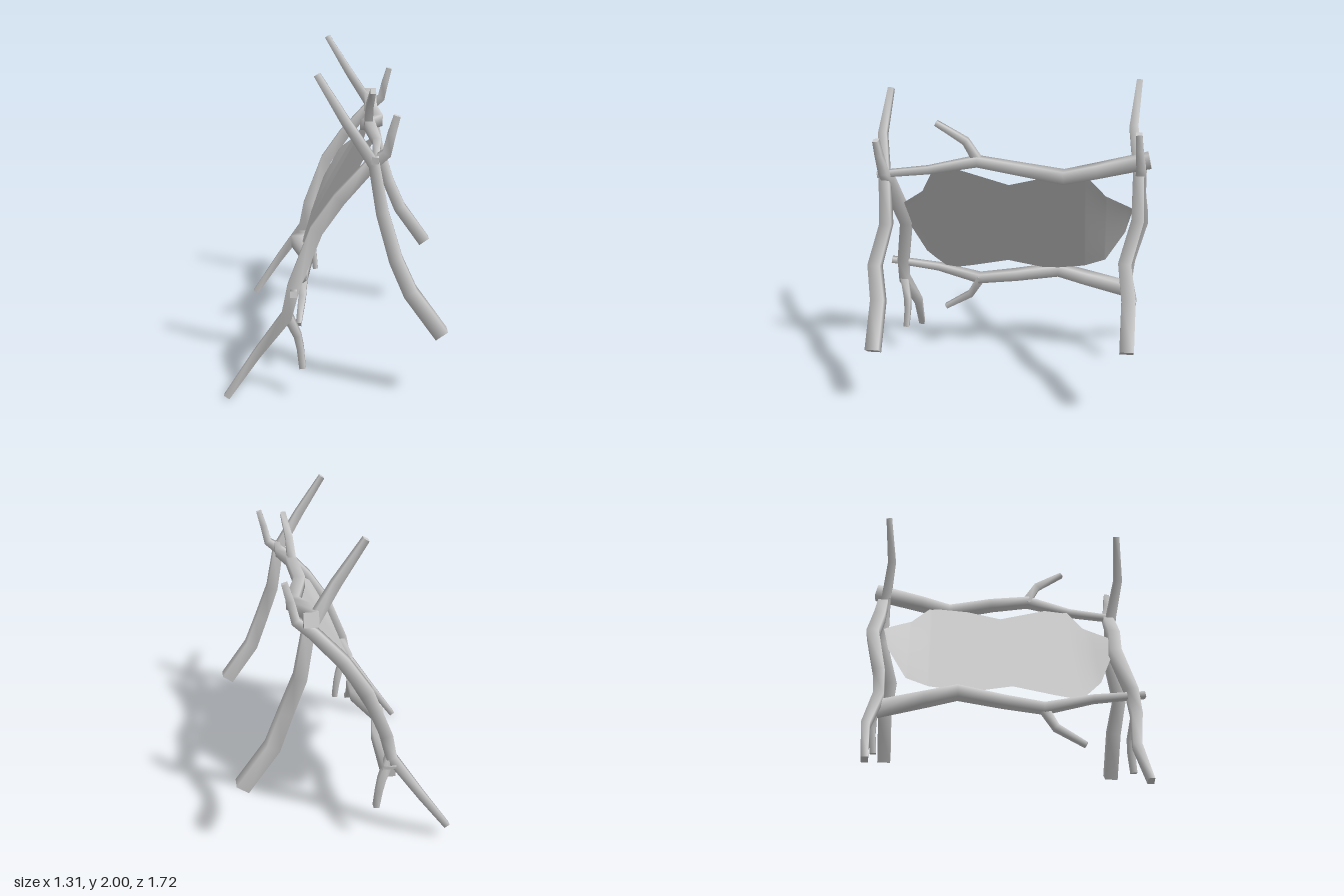
import * as THREE from 'three';

const SIDES = 4;
const wood = new THREE.MeshStandardMaterial({ color: 0xcccccc });
const cloth = new THREE.MeshStandardMaterial({ color: 0xcccccc, side: THREE.DoubleSide });

// Tapered square branch with soft shading: each point is [x, y, z, half width];
// ref is the direction across the branch that two of its sides face
function branch(name, points, ref) {
  const centres = points.map(p => new THREE.Vector3(p[0], p[1], p[2]));
  const pos = [], index = [];
  const ring = (i) => {
    const a = centres[Math.max(i - 1, 0)], b = centres[i], c = centres[Math.min(i + 1, centres.length - 1)];
    const t = new THREE.Vector3();
    if (i > 0) t.add(b.clone().sub(a).normalize());
    if (i < centres.length - 1) t.add(c.clone().sub(b).normalize());
    t.normalize();
    const u = ref.clone().addScaledVector(t, -ref.dot(t)).normalize();
    const v = new THREE.Vector3().crossVectors(t, u);
    const r = points[i][3] * Math.SQRT2;
    for (let k = 0; k < SIDES; k++) {
      const ang = ((k + 0.5) / SIDES) * Math.PI * 2;
      const p = b.clone().addScaledVector(u, Math.cos(ang) * r).addScaledVector(v, Math.sin(ang) * r);
      pos.push(p.x, p.y, p.z);
    }
  };
  const last = points.length - 1;
  for (let i = 0; i <= last; i++) ring(i);
  for (let i = 0; i < last; i++) {
    for (let k = 0; k < SIDES; k++) {
      const a = i * SIDES + k, b = i * SIDES + (k + 1) % SIDES;
      index.push(a, b, a + SIDES, b, b + SIDES, a + SIDES);
    }
  }
  // flat end caps on their own vertices
  const s = pos.length / 3;
  ring(0);
  ring(last);
  for (let k = 1; k < SIDES - 1; k++) {
    index.push(s, s + k + 1, s + k);
    index.push(s + SIDES, s + SIDES + k, s + SIDES + k + 1);
  }
  const geo = new THREE.BufferGeometry();
  geo.setAttribute('position', new THREE.Float32BufferAttribute(pos, 3));
  geo.setIndex(index);
  geo.computeVertexNormals();
  const mesh = new THREE.Mesh(geo, wood);
  mesh.name = name;
  return mesh;
}

// Crossed pair of branches that stands at each end
function endFrame(name) {
  const g = new THREE.Group();
  g.name = name;
  const z = new THREE.Vector3(0, 0, 1);
  g.add(branch('curvedPost', [
    [-0.64, 0.013, 0.757, 0.019], [-0.46, 0.275, 0.735, 0.025], [-0.28, 0.53, 0.785, 0.032],
    [-0.24, 0.7, 0.775, 0.036], [-0.11, 1.02, 0.712, 0.038], [0.02, 1.21, 0.738, 0.037],
    [0.19, 1.4, 0.742, 0.033], [0.28, 1.47, 0.747, 0.026], [0.305, 1.58, 0.76, 0.022], [0.333, 1.68, 0.768, 0.018],
  ], z));
  g.add(branch('postFork', [
    [-0.28, 0.55, 0.785, 0.027], [-0.22, 0.4, 0.755, 0.022], [-0.205, 0.32, 0.755, 0.02], [-0.193, 0.2, 0.766, 0.018],
  ], z));
  g.add(branch('proppingLeg', [
    [0.603, 0.425, 0.783, 0.042], [0.42, 0.68, 0.783, 0.042], [0.335, 0.88, 0.815, 0.039],
    [0.26, 1.13, 0.75, 0.036], [0.21, 1.41, 0.757, 0.032], [0.055, 1.65, 0.795, 0.026], [-0.1, 1.9, 0.77, 0.018],
  ], z));
  return g;
}

// Long branch with a short twig, running from front to back
function rail(name) {
  const g = new THREE.Group();
  g.name = name;
  const x = new THREE.Vector3(1, 0, 0);
  g.add(branch('railBranch', [
    [0.215, 1.435, 0.8, 0.019], [0.235, 1.48, 0.48, 0.023], [0.195, 1.532, 0.19, 0.031],
    [0.175, 1.488, -0.06, 0.034], [0.258, 1.472, -0.34, 0.038], [0.222, 1.505, -0.53, 0.04], [0.222, 1.582, -0.84, 0.042],
  ], x));
  g.add(branch('railTwig', [
    [0.19, 1.53, 0.18, 0.027], [0.195, 1.655, 0.255, 0.022], [0.21, 1.765, 0.43, 0.016],
  ], x));
  return g;
}

// Linear lookup through [key, value] pairs with rising keys
function lookup(table, key) {
  for (let i = 1; i < table.length; i++) {
    const [k0, v0] = table[i - 1], [k1, v1] = table[i];
    if (key <= k1) return v0 + (v1 - v0) * Math.max(0, (key - k0) / (k1 - k0));
  }
  return table[table.length - 1][1];
}

// Stretched hide with a ragged outline: taut in the middle, bent along the posts at its sides
function hide() {
  const top = [[-0.76, 1.2], [-0.59, 1.31], [-0.47, 1.465], [-0.22, 1.44], [0, 1.375], [0.33, 1.49], [0.46, 1.47], [0.55, 1.3], [0.69, 1.19], [0.72, 1.15]];
  const bottom = [[-0.76, 1.19], [-0.72, 1.0], [-0.6, 0.77], [-0.46, 0.71], [-0.22, 0.67], [0.05, 0.73], [0.3, 0.665], [0.46, 0.63], [0.6, 0.78], [0.69, 1.0], [0.72, 1.14]];
  const bent = y => -0.257 + 0.38 * (y - 0.62) + 0.36 * (y - 0.62) * (y - 1);
  const taut = y => -0.257 + 0.56 * (y - 0.64);
  const columns = [...new Set([...top, ...bottom].map(p => p[0]))].sort((a, b) => a - b);
  const rows = 12, pos = [], index = [];
  columns.forEach((z, i) => {
    const lo = lookup(bottom, z), hi = lookup(top, z);
    const side = THREE.MathUtils.smoothstep(Math.abs(z), 0.48, 0.76);
    for (let j = 0; j <= rows; j++) {
      const y = lo + (hi - lo) * j / rows;
      pos.push(THREE.MathUtils.lerp(taut(y), bent(y), side), y, z);
      if (i > 0 && j > 0) {
        const d = i * (rows + 1) + j, c = d - 1, b = d - rows - 1, a = b - 1;
        index.push(a, b, c, b, d, c);
      }
    }
  });
  const geo = new THREE.BufferGeometry();
  geo.setAttribute('position', new THREE.Float32BufferAttribute(pos, 3));
  geo.setIndex(index);
  geo.computeVertexNormals();
  const mesh = new THREE.Mesh(geo, cloth);
  mesh.name = 'stretchedHide';
  return mesh;
}

export function createModel() {
  const model = new THREE.Group();
  model.name = 'hideDryingRack';

  // the two end frames share one shape, the back one slightly higher
  const back = endFrame('backFrame');
  back.position.set(0.02, 0.09, -1.535);
  model.add(endFrame('frontFrame'), back);

  // the lower rail is the upper one turned half a turn about z
  const lower = rail('lowerRail');
  lower.rotation.z = Math.PI;
  lower.position.set(-0.02, 2.12, 0.055);
  model.add(rail('upperRail'), lower);

  model.add(hide());
  return model;
}
